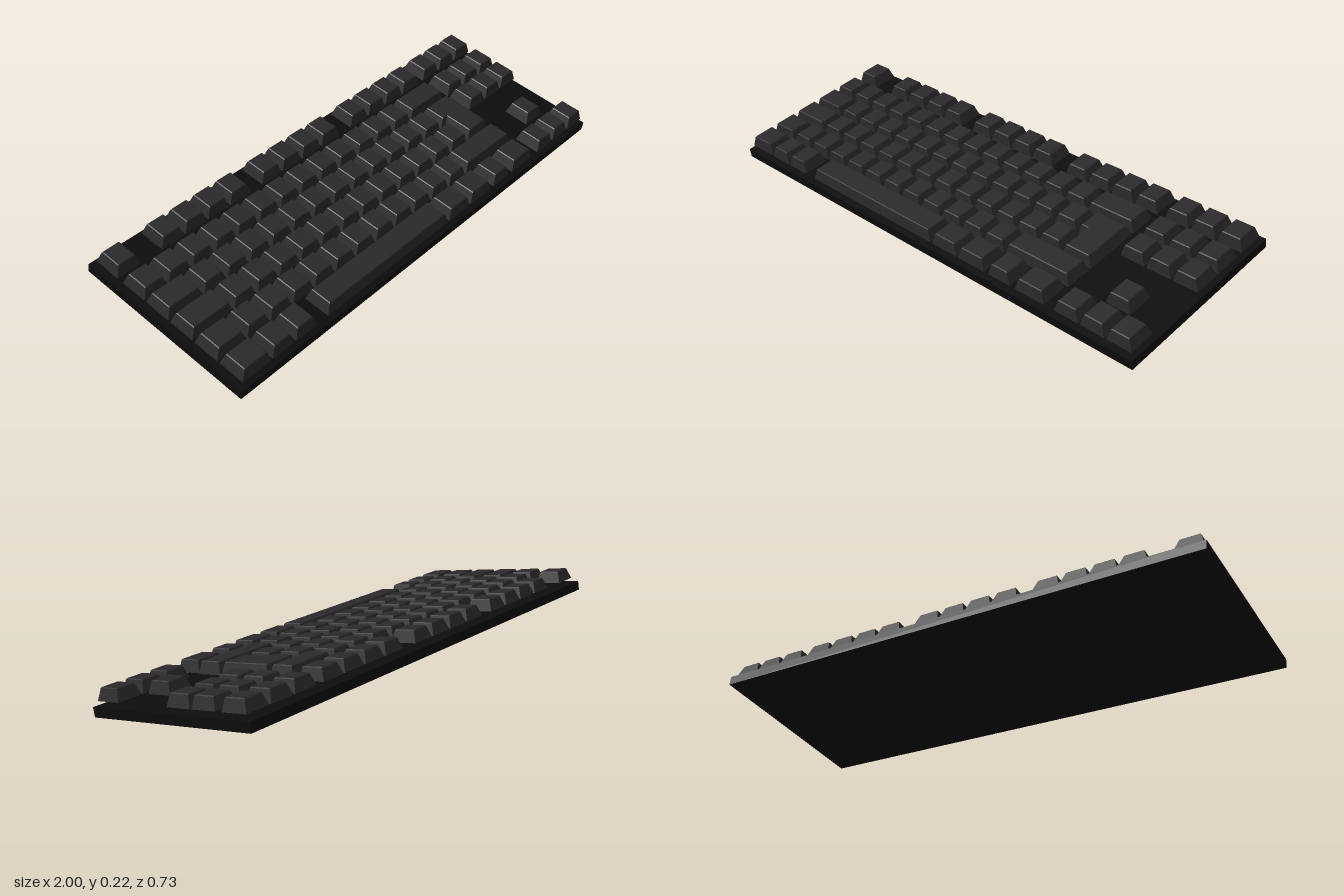
import * as THREE from 'three';

const U = 0.108;          // width of a one-unit key cell
const LEFT = -0.985;      // left end of the main block
const GAP = 0.007;        // gap between neighbouring keys
const DEPTH = 0.105;      // depth of a key at its foot
const PITCH = 0.114;      // distance between rows
const FRONT_ROW = 0.2975; // z of the space bar row
const TOP_ROW = -0.2916;  // z of the rearmost row
const KEY_BASE = 0.036, KEY_TOP = 0.081;

const keyMaterial = new THREE.MeshStandardMaterial({ color: 0x2a282b, flatShading: true });
const caseMaterial = new THREE.MeshStandardMaterial({ color: 0x0c0c0c });

// Tapered keycap lofted from an outline of [x, z, inward x, inward z] corners,
// counter-clockwise from above
function keycapGeometry(outline) {
  const rings = [ // height, inset in x, inset in z
    [KEY_BASE, 0, 0],
    [KEY_TOP - 0.003, 0.0135, 0.0105],
    [KEY_TOP, 0.0165, 0.0135],
  ];
  const n = outline.length, positions = [], index = [];
  for (const [y, ix, iz] of rings) {
    for (const [x, z, sx, sz] of outline) positions.push(x + sx * ix, y, z + sz * iz);
  }
  for (let r = 0; r < rings.length - 1; r++) {
    for (let i = 0; i < n; i++) {
      const a = r * n + i, b = r * n + (i + 1) % n;
      index.push(a, b, b + n, a, b + n, a + n);
    }
  }
  // Top and underside
  const contour = outline.map(([x, z]) => new THREE.Vector2(x, -z));
  const last = (rings.length - 1) * n;
  for (const [a, b, c] of THREE.ShapeUtils.triangulateShape(contour, [])) {
    index.push(a + last, b + last, c + last, a, c, b);
  }
  const indexed = new THREE.BufferGeometry();
  indexed.setAttribute('position', new THREE.Float32BufferAttribute(positions, 3));
  indexed.setIndex(index);
  const geometry = indexed.toNonIndexed();
  geometry.computeVertexNormals();
  return geometry;
}

// Rectangular key, geometry shared by width
const cache = new Map();
function addKey(parent, name, x, z, width) {
  const id = width.toFixed(3);
  if (!cache.has(id)) {
    const w = width / 2, d = DEPTH / 2;
    cache.set(id, keycapGeometry([
      [-w, -d, 1, 1], [-w, d, 1, -1], [w, d, -1, -1], [w, -d, -1, 1],
    ]));
  }
  const key = new THREE.Mesh(cache.get(id), keyMaterial);
  key.name = name;
  key.position.set(x, 0, z);
  parent.add(key);
}

// Run of keys from the left end, with widths given in units
function addRun(parent, z, widths) {
  let u = 0;
  for (const w of widths) {
    addKey(parent, w > 1 ? 'wideKey' : 'key', LEFT + (u + w / 2) * U, z, w * U - GAP);
    u += w;
  }
}

export function createModel() {
  const model = new THREE.Group();
  model.name = 'keyboard';

  // Everything leans on a ten degree slope
  const tilted = new THREE.Group();
  tilted.name = 'tiltedBody';
  tilted.rotation.x = THREE.MathUtils.degToRad(10);
  tilted.position.y = 0.0812;
  model.add(tilted);

  // Flat case
  const plate = new THREE.Mesh(new THREE.BoxGeometry(2, 0.036, 0.73), caseMaterial);
  plate.name = 'case';
  tilted.add(plate);

  const group = (name) => {
    const g = new THREE.Group();
    g.name = name;
    tilted.add(g);
    return g;
  };
  const rowZ = (i) => FRONT_ROW - i * PITCH;
  const ones = (n) => Array(n).fill(1);

  // Top row: a single key and three blocks of four
  const topRow = group('topRow');
  addKey(topRow, 'escapeKey', -0.931, TOP_ROW, U - GAP);
  for (const start of [-0.733, -0.242, 0.256]) {
    for (let i = 0; i < 4; i++) addKey(topRow, 'topRowKey', start + i * 0.109, TOP_ROW, U - GAP);
  }

  // Main block
  addRun(group('numberRow'), rowZ(4), [...ones(13), 2]);
  addRun(group('upperLetterRow'), rowZ(3), [1.5, ...ones(12)]);
  addRun(group('homeRow'), rowZ(2), [1.75, ...ones(12)]);
  addRun(group('lowerLetterRow'), rowZ(1), [1.25, ...ones(11), 2.75]);

  // Bottom row with the space bar
  const bottomRow = group('bottomRow');
  addRun(bottomRow, rowZ(0), [1.25, 1, 1]);
  addKey(bottomRow, 'spaceBar', -0.252, rowZ(0), 0.66);
  for (const [x, w] of [[0.15, 0.125], [0.283, 0.125], [0.417, 0.1], [0.557, 0.13]]) {
    addKey(bottomRow, 'modifierKey', x, rowZ(0), w);
  }

  // Stepped enter key spanning two rows
  const right = LEFT + 15 * U - GAP / 2;
  const upper = LEFT + 13.5 * U + GAP / 2;
  const lower = LEFT + 13.75 * U + GAP / 2;
  const back = rowZ(3) - DEPTH / 2, step = rowZ(3) + DEPTH / 2, front = rowZ(2) + DEPTH / 2;
  const enter = new THREE.Mesh(keycapGeometry([
    [upper, back, 1, 1], [upper, step, 1, -1], [lower, step, 1, -1],
    [lower, front, 1, -1], [right, front, -1, -1], [right, back, -1, 1],
  ]), keyMaterial);
  enter.name = 'enterKey';
  tilted.add(enter);

  // Navigation block and arrow keys
  const navigation = group('navigationKeys'), arrows = group('arrowKeys');
  for (const x of [0.718, 0.828, 0.937]) {
    for (const z of [TOP_ROW, rowZ(4), rowZ(3)]) addKey(navigation, 'navigationKey', x, z, U - GAP);
    addKey(arrows, 'arrowKey', x, rowZ(0), U - GAP);
  }
  addKey(arrows, 'upArrowKey', 0.828, rowZ(1) - 0.017, U - GAP);

  return model;
}
